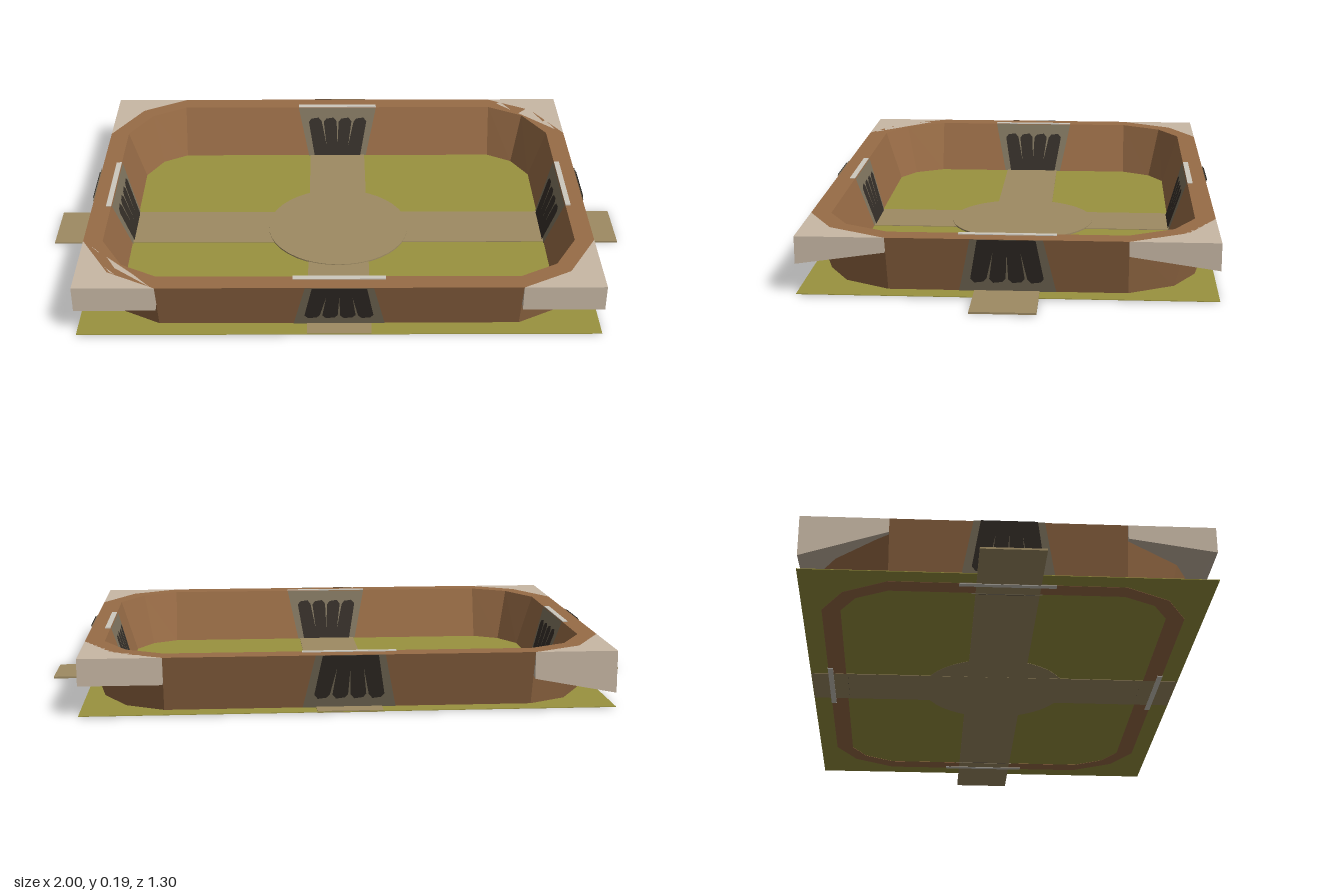
import * as THREE from 'three';

const mat = (name, color) => new THREE.MeshStandardMaterial({ name, color, side: THREE.DoubleSide });
const M = {
  wall: mat('brown wall', 0x986c46), grass: mat('olive grass', 0x9a923f),
  path: mat('sandy path', 0x9e8b63), block: mat('pale stone', 0xc8b8a5),
  frame: mat('grey stone', 0x80755f), bars: mat('dark bars', 0x352f29),
  trim: mat('light trim', 0xcdc8be),
};
const H = 0.187, SX = 0.588, SZ = 0.368; // wall height, ends of the straight wall runs

// Outer and inner wall half sizes at bottom and top
const OUT = { x: [0.79, 0.852], z: [0.58, 0.642] };
const IN = { x: [0.73, 0.787], z: [0.52, 0.577] };

function add(parent, name, geo, material, x = 0, y = 0, z = 0) {
  const m = new THREE.Mesh(geo, material);
  m.name = name;
  m.position.set(x, y, z);
  parent.add(m);
  return m;
}

// Flat-faced geometry from lists of corner loops
function polyGeometry(faces) {
  const p = [];
  for (const f of faces)
    for (let i = 1; i < f.length - 1; i++) p.push(...f[0], ...f[i], ...f[i + 1]);
  const g = new THREE.BufferGeometry();
  g.setAttribute('position', new THREE.Float32BufferAttribute(p, 3));
  g.computeVertexNormals();
  return g;
}

const cornerMid = (hx, hz) => [SX + 0.61 * (hx - SX), SZ + 0.67 * (hz - SZ)];

// Rounded-corner outline, running from +x towards +z
function ring(hx, hz, y) {
  const [mx, mz] = cornerMid(hx, hz);
  const q = [[hx, SZ], [mx, mz], [SX, hz]], pts = [];
  for (const [sx, sz] of [[1, 1], [-1, 1], [-1, -1], [1, -1]]) {
    const c = q.map(([x, z]) => [x * sx, y, z * sz]);
    pts.push(...(sx * sz > 0 ? c : c.reverse()));
  }
  return pts;
}

function wallGeometry() {
  const rings = [ring(OUT.x[0], OUT.z[0], 0.002), ring(OUT.x[1], OUT.z[1], H),
    ring(IN.x[1], IN.z[1], H), ring(IN.x[0], IN.z[0], 0.002)];
  const faces = [];
  rings.forEach((a, k) => {
    const b = rings[(k + 1) % 4];
    a.forEach((_, i) => {
      const j = (i + 1) % a.length;
      faces.push([a[i], b[i], b[j], a[j]]);
    });
  });
  return polyGeometry(faces);
}

// Corner block filling the square corner, with a sloping underside
function blockGeometry(sx, sz, low) {
  const X = OUT.x[1], Z = OUT.z[1], [mx, mz] = cornerMid(X, Z), d = 0.04;
  const B = [SX, H, Z], C = [X, H, SZ];
  const top = [[X, H, Z], B, B, [mx, H, mz], C, C];
  const bottom = [[X, low, Z], [SX, 0.1, Z], [SX, 0.108, Z - d],
    [mx - d * 0.8, 0.12, mz - d * 0.8], [X - d, 0.14, SZ], [X, 0.14, SZ]];
  const faces = [[top[0], C, top[3], B], bottom.slice().reverse()];
  top.forEach((_, i) => {
    const j = (i + 1) % 6;
    faces.push([bottom[i], top[i], top[j], bottom[j]]);
  });
  return polyGeometry(faces.map(f => {
    const g = f.map(([x, y, z]) => [x * sx, y, z * sz]);
    return sx * sz > 0 ? g : g.reverse();
  }));
}

// Plate lying on a leaning wall face
function plate(points, [z0, z1], offset, flip) {
  const pts = points.map(([x, y]) => new THREE.Vector2(x, flip ? H - y : y));
  const g = new THREE.ShapeGeometry(new THREE.Shape(pts));
  const p = g.attributes.position;
  for (let i = 0; i < p.count; i++) p.setZ(i, z0 + (z1 - z0) * p.getY(i) / H + offset);
  g.computeVertexNormals();
  return g;
}

// Gate on both faces of one wall; the inner face is upside down
function gate(axis) {
  const g = new THREE.Group();
  g.name = 'gate';
  const frame = [[-0.15, 0.001], [0.15, 0.001], [0.11, H], [-0.11, H]];
  const bars = [[0.088, H], [-0.088, H]];
  for (let i = 0; i < 4; i++) {
    const c = -0.087 + i * 0.058;
    bars.push([c - 0.026, 0.05], [c - 0.014, 0.036], [c + 0.014, 0.04], [c + 0.024, 0.052]);
    if (i < 3) bars.push([(c + 0.029) * 0.72, 0.145]);
  }
  for (const [side, face, s] of [['outer', OUT, 1], ['inner', IN, -1]]) {
    add(g, side + 'GateFrame', plate(frame, face[axis], s * 0.003, s < 0), M.frame);
    add(g, side + 'GateBars', plate(bars, face[axis], s * 0.006, s < 0), M.bars);
  }
  const strip = new THREE.BoxGeometry(0.3, 0.003, 0.018);
  add(g, 'topTrim', strip, M.trim, 0, H + 0.001, IN[axis][1] + 0.009);
  add(g, 'bottomTrim', strip, M.trim, 0, 0.0015, OUT[axis][0] - 0.007);
  return g;
}

export function createModel() {
  const root = new THREE.Group();
  root.name = 'arena';
  const body = new THREE.Group();
  body.name = 'arenaBody';
  body.position.set(0.0075, 0, -0.0025);
  root.add(body);

  // Ground and crossing paths
  add(body, 'grassFloor', new THREE.BoxGeometry(1.704, 0.002, 1.284), M.grass, 0, 0.004, 0);
  add(root, 'longPath', new THREE.BoxGeometry(2, 0.006, 0.2), M.path, 0, 0.0045, 0);
  add(body, 'crossPath', new THREE.BoxGeometry(0.21, 0.006, 1.28), M.path, 0, 0.0043, 0);
  add(body, 'centreDisc', new THREE.CylinderGeometry(0.25, 0.25, 0.008, 40), M.path, 0, 0.006, 0);

  // Leaning perimeter wall
  add(body, 'perimeterWall', wallGeometry(), M.wall);

  // Corner blocks, one of which reaches lower
  for (const sx of [1, -1])
    for (const sz of [1, -1])
      add(body, 'cornerBlock', blockGeometry(sx, sz, sx < 0 && sz < 0 ? 0.05 : 0.1), M.block);

  // Four gates
  for (let i = 0; i < 4; i++) {
    const g = gate(i % 2 ? 'x' : 'z');
    g.rotation.y = i * Math.PI / 2;
    body.add(g);
  }
  return root;
}
